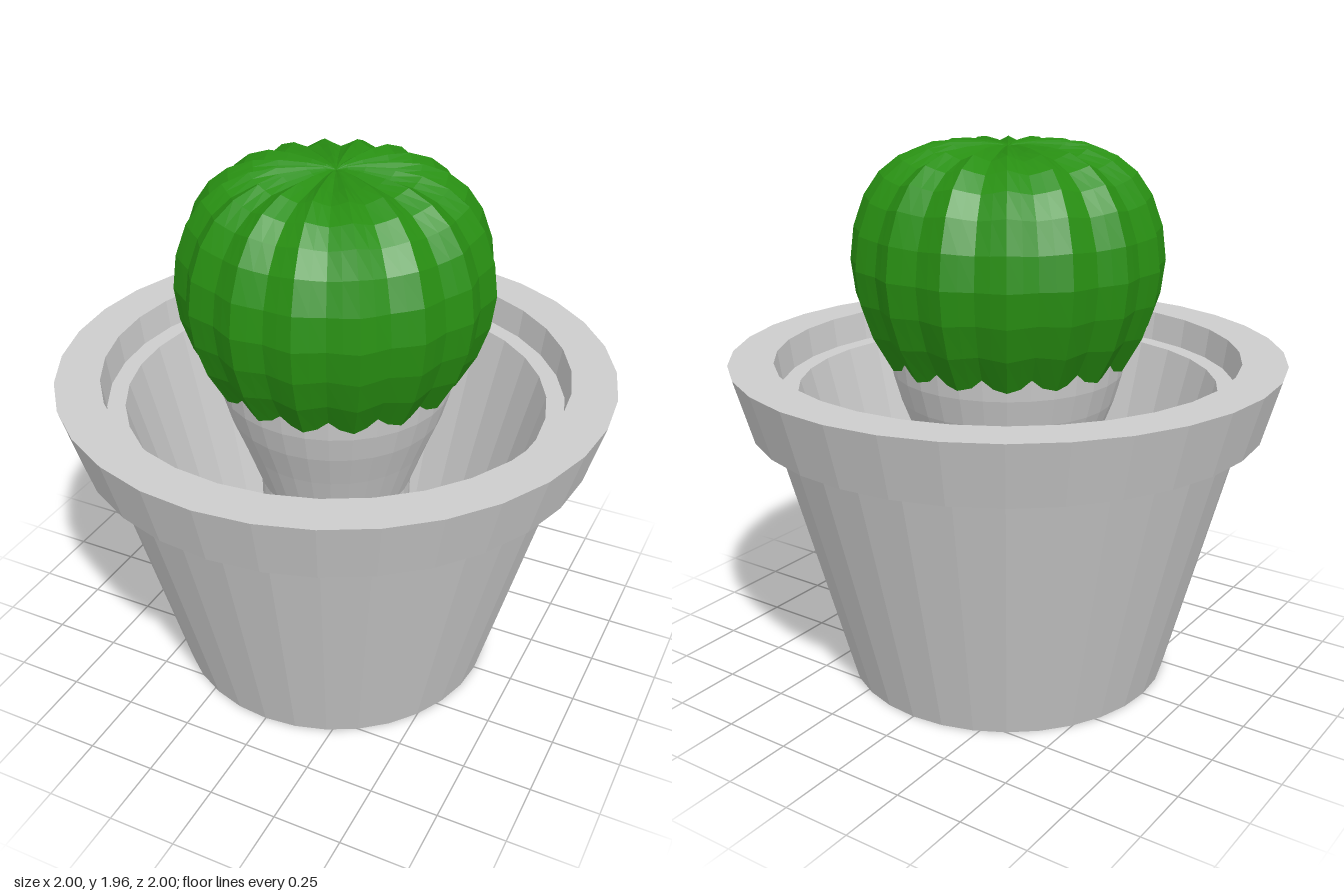
import * as THREE from 'three';

const grey = new THREE.MeshStandardMaterial({ color: 0xcccccc });
grey.name = 'stoneGrey';
grey.flatShading = true;
const green = new THREE.MeshStandardMaterial({ color: 0x288f12 });
green.name = 'cactusGreen';
green.flatShading = true;
green.side = THREE.DoubleSide;

// Revolves [radius, height] points, listed upward along the outside
function lathe(name, points, sides, material) {
  const profile = points.map(([r, y]) => new THREE.Vector2(r, y));
  const mesh = new THREE.Mesh(new THREE.LatheGeometry(profile, sides), material);
  mesh.name = name;
  return mesh;
}

// Presses valleys between the ribs, deepest at the sides and fading at the pole
function addRibs(geometry, ribs, depth, centreY) {
  const p = geometry.attributes.position;
  for (let i = 0; i < p.count; i++) {
    const x = p.getX(i), y = p.getY(i), z = p.getZ(i);
    const r = Math.hypot(x, z);
    const ridge = Math.abs(Math.sin(Math.atan2(z, x) * ribs / 2));
    const valley = 1 - ridge * ridge * (0.55 + 0.45 * ridge);
    const k = 1 - depth * valley * Math.min(1, r / 0.2);
    p.setXYZ(i, x * k, centreY + (y - centreY) * k, z * k);
  }
  geometry.computeVertexNormals();
}

export function createModel() {
  const model = new THREE.Group();
  model.name = 'pottedCactus';

  // Tapered pot with an overhanging rim and an inner ledge
  model.add(lathe('pot', [
    [0, 0], [0.6, 0], [0.86, 0.98], [0.935, 0.98], [1, 1.21],
    [0.84, 1.21], [0.825, 1.1], [0.76, 1.1], [0.5, 0.1], [0, 0.1],
  ], 32, grey));

  // Bare lower stem, standing on the pot floor
  model.add(lathe('stem', [
    [0.27, 0.1], [0.28, 0.75], [0.34, 0.92], [0.39, 1.05], [0.418, 1.15], [0.428, 1.23],
  ], 32, grey));

  // Ribbed globe with a small dimple on top
  const globe = lathe('cactusGlobe', [
    [0.435, 1.185], [0.505, 1.31], [0.545, 1.43], [0.56, 1.55], [0.545, 1.67],
    [0.505, 1.78], [0.45, 1.86], [0.38, 1.915], [0.29, 1.95], [0.2, 1.96],
    [0.1, 1.96], [0.04, 1.955], [0, 1.945],
  ], 64, green);
  addRibs(globe.geometry, 16, 0.05, 1.5);
  model.add(globe);

  return model;
}
